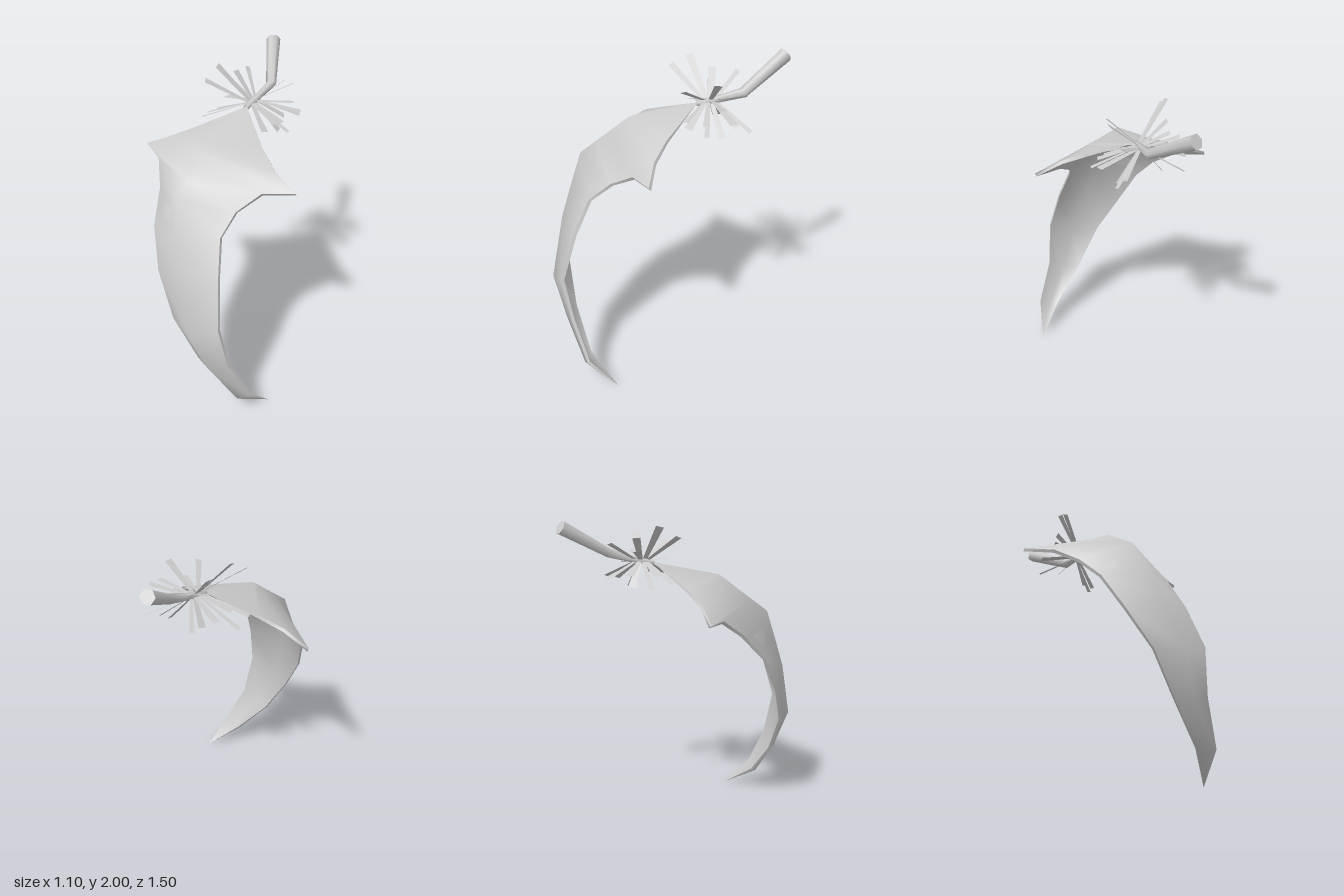
import * as THREE from 'three';
import { mergeVertices } from 'three/addons/utils/BufferGeometryUtils.js';

const V = (p) => new THREE.Vector3(...p);

// Smooth surface through rows of points (rows run down, columns left to right)
function grid(rows) {
  const w = rows[0].length, index = [];
  for (let i = 0; i < rows.length - 1; i++) {
    for (let j = 0; j < w - 1; j++) {
      const a = i * w + j, b = a + w;
      index.push(a, b, b + 1, a, b + 1, a + 1);
    }
  }
  let g = new THREE.BufferGeometry().setFromPoints(rows.flat());
  g.setIndex(index);
  g = mergeVertices(g, 1e-5);
  g.computeVertexNormals();
  return g;
}

// Cross-sections of the body: left edge, middle ridge, right edge
const SECTIONS = [
  [[0, 1.735, -0.17], [0, 1.735, -0.17], [0, 1.735, -0.17]],
  [[-0.25, 1.605, 0.03], [0, 1.655, 0.24], [0.25, 1.605, 0.03]],
  [[-0.39, 1.535, 0.11], [0, 1.615, 0.295], [0.39, 1.535, 0.11]],
  [[-0.55, 1.455, 0.145], [0, 1.56, 0.365], [0.55, 1.455, 0.145]],
  [[-0.38, 1.44, 0.235], [0, 1.5, 0.445], [0.38, 1.44, 0.235]],
  [[-0.27, 1.33, 0.365], [0, 1.42, 0.55], [0.29, 1.35, 0.365]],
  [[-0.2, 1.16, 0.52], [0.04, 1.22, 0.617], [0.275, 1.24, 0.5]],
  [[-0.1, 0.93, 0.62], [0.1, 1.03, 0.68], [0.33, 1.03, 0.6]],
  [[0.05, 0.67, 0.68], [0.22, 0.66, 0.755], [0.39, 0.74, 0.69]],
  [[0.2, 0.4, 0.64], [0.31, 0.38, 0.675], [0.42, 0.45, 0.64]],
  [[0.385, 0.16, 0.55], [0.45, 0.13, 0.57], [0.52, 0.18, 0.55]],
  [[0.545, 0.005, 0.36], [0.545, 0.005, 0.36], [0.545, 0.005, 0.36]],
];

// Stem centre line and radius
const STEM = [
  [0, 1.73, -0.16, 0.018], [0, 1.755, -0.3, 0.022],
  [0.003, 1.792, -0.44, 0.032], [-0.16, 1.967, -0.715, 0.045],
];

// Tips of the tuft leaves, with leaf width
const LEAVES = [
  [-0.2, 1.91, -0.02, 0.04], [-0.19, 1.97, -0.13, 0.05], [-0.17, 1.87, -0.43, 0.035],
  [-0.25, 1.69, -0.31, 0.05], [-0.17, 1.82, -0.265, 0.05], [-0.3, 1.615, -0.18, 0.035],
  [-0.2, 1.68, -0.14, 0.05], [-0.26, 1.64, -0.06, 0.03], [-0.2, 1.66, -0.45, 0.03],
  [-0.12, 1.6, -0.3, 0.05], [-0.15, 1.9, -0.27, 0.05],
  [0.2, 1.62, -0.47, 0.03], [0.16, 1.83, -0.44, 0.035], [0.27, 1.7, -0.36, 0.05],
  [0.25, 1.78, -0.3, 0.04], [0.28, 1.63, -0.2, 0.03], [0.18, 1.64, -0.1, 0.05],
  [0.26, 1.72, -0.08, 0.03], [0.19, 1.91, -0.27, 0.05], [0.15, 1.86, -0.07, 0.04],
  [0.15, 1.56, -0.31, 0.045], [0.13, 1.62, -0.4, 0.04], [0.24, 1.68, -0.2, 0.04],
];

export function createModel() {
  const model = new THREE.Group();
  const grey = new THREE.MeshStandardMaterial({ color: 0xcccccc, side: THREE.DoubleSide });
  grey.name = 'plain grey';
  const add = (geometry, name, parent = model) => {
    const mesh = new THREE.Mesh(geometry, grey);
    mesh.name = name;
    parent.add(mesh);
  };

  // Curved body: outer skin, inner skin and the thin rim between them
  const body = new THREE.Group();
  body.name = 'curvedBody';
  model.add(body);
  const outer = SECTIONS.map((row) => row.map(V));
  const last = outer.length - 1;
  const inner = outer.map((row, i) => {
    const t = outer[Math.min(i + 1, last)][1].clone().sub(outer[Math.max(i - 1, 0)][1]);
    const inward = new THREE.Vector3(0, t.z, -t.y).normalize().multiplyScalar(-0.02);
    if (i === 0 || i === last) inward.set(0, 0, 0);
    return row.map((p) => p.clone().add(inward));
  });
  add(grid(outer), 'outerSkin', body);
  add(grid(inner.map((r) => [...r].reverse())), 'innerSkin', body);
  add(grid(outer.map((r, i) => [inner[i][0], r[0]])), 'rightRim', body);
  add(grid(outer.map((r, i) => [r[2], inner[i][2]])), 'leftRim', body);

  // Bent stem widening to its cut end
  const points = STEM.map((s) => V(s.slice(0, 3)));
  const rings = points.map((p, i) => {
    const d = points[Math.min(i + 1, 3)].clone().sub(points[Math.max(i - 1, 0)]).normalize();
    const u = d.clone().cross(new THREE.Vector3(0, 1, 0)).normalize();
    const v = u.clone().cross(d);
    return Array.from({ length: 7 }, (_, k) => {
      const a = ((k % 6) / 6) * Math.PI * 2, r = STEM[i][3];
      return p.clone().addScaledVector(u, Math.cos(a) * r).addScaledVector(v, Math.sin(a) * r);
    });
  });
  add(grid(rings), 'stem');
  add(grid([rings[3], rings[3].map(() => points[3].clone())]), 'stemEnd');

  // Tuft of narrow flat leaves around the stem base
  const tuft = new THREE.Group();
  tuft.name = 'leafTuft';
  model.add(tuft);
  for (const [x, y, z, width] of LEAVES) {
    const tip = V([x, y, z]);
    const root = V([0, 1.745, -0.24 + (z + 0.24) * 0.15]);
    const d = tip.clone().sub(root).normalize();
    const side = new THREE.Vector3(0, 0, 1).addScaledVector(d, -d.z).normalize();
    const pair = (p, w) => [p.clone().addScaledVector(side, -w / 2), p.clone().addScaledVector(side, w / 2)];
    add(grid([pair(root, width * 0.5), pair(tip, width)]), 'leaf', tuft);
  }
  return model;
}
